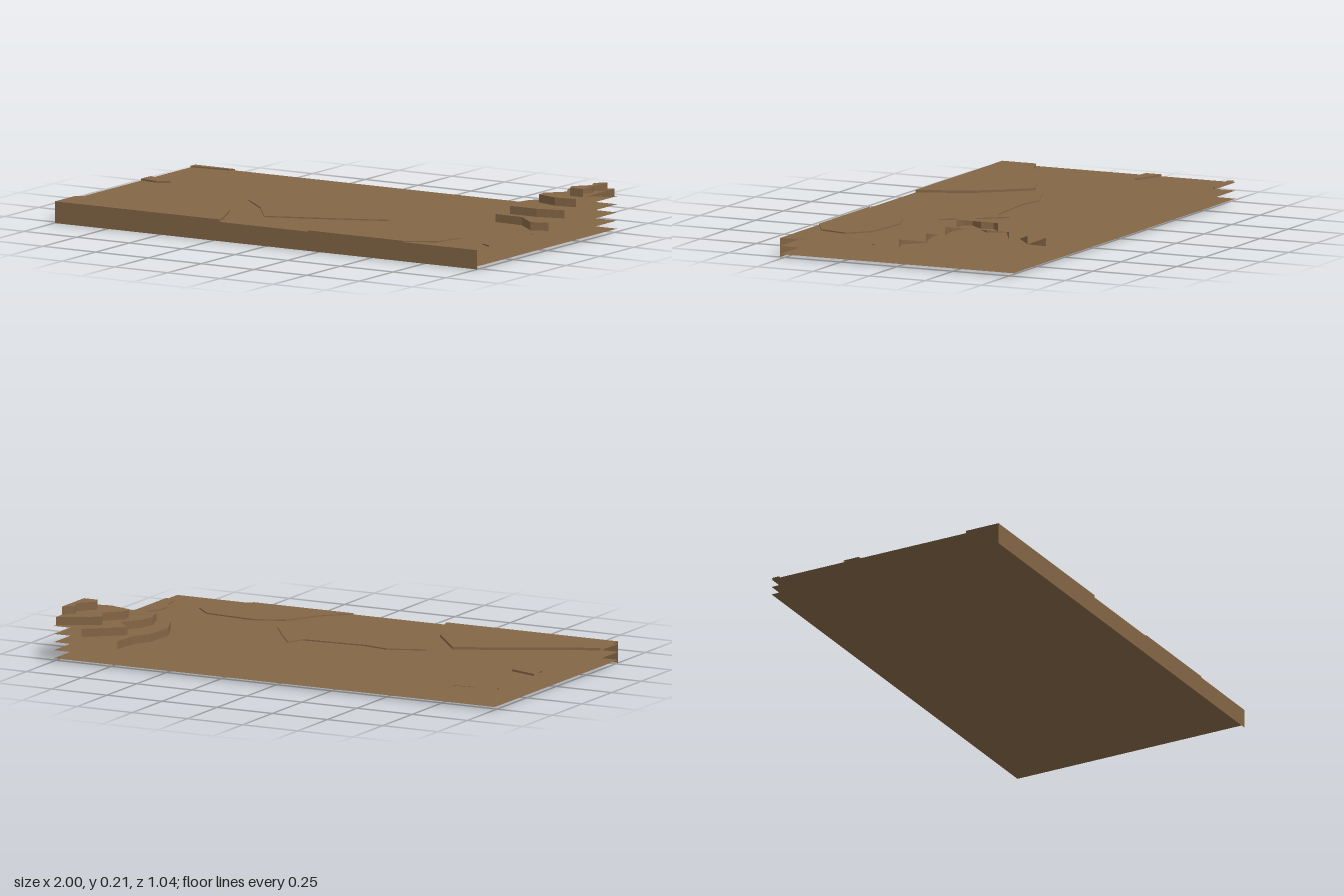
import * as THREE from 'three';

const HX = 1, HZ = 0.52;       // half extents of the slab
const GROUND = 0.078, STEP = 0.033;

const earth = new THREE.MeshStandardMaterial({ color: 0x846646, side: THREE.DoubleSide });
earth.name = 'earth brown';

// Flat horizontal sheet from an [x, z] outline
function sheet(name, outline, y) {
  const shape = new THREE.Shape(outline.map(([x, z]) => new THREE.Vector2(x, -z)));
  const geo = new THREE.ShapeGeometry(shape).rotateX(-Math.PI / 2).translate(0, y, 0);
  const mesh = new THREE.Mesh(geo, earth);
  mesh.name = name;
  return mesh;
}

// Segments on the open cut sides (left, right and back) get no wall
function onOpenEdge([x0, z0], [x1, z1]) {
  return (Math.abs(x0) === HX && x0 === x1) || (z0 === -HZ && z1 === -HZ);
}

// Vertical walls following the outline
function riser(name, outline, y0, y1) {
  const pos = [];
  outline.forEach((a, i) => {
    const b = outline[(i + 1) % outline.length];
    if (onOpenEdge(a, b)) return;
    const [ax, az] = a, [bx, bz] = b;
    pos.push(ax, y0, az, bx, y0, bz, bx, y1, bz, ax, y0, az, bx, y1, bz, ax, y1, az);
  });
  const geo = new THREE.BufferGeometry();
  geo.setAttribute('position', new THREE.Float32BufferAttribute(pos, 3));
  geo.computeVertexNormals();
  const mesh = new THREE.Mesh(geo, earth);
  mesh.name = name;
  return mesh;
}

function terrace(name, outline, y0, y1) {
  const group = new THREE.Group();
  group.name = name;
  group.add(sheet(name + 'Top', outline, y1), riser(name + 'Riser', outline, y0, y1));
  return group;
}

export function createModel() {
  const model = new THREE.Group();
  model.name = 'terracedLandscape';

  // Stacked full-size contour sheets, open at the sides and back
  const full = [[-HX, HZ], [HX, HZ], [HX, -HZ], [-HX, -HZ]];
  for (let i = 0; i < 3; i++) {
    model.add(sheet('baseSheet' + (i + 1), full, GROUND - (2 - i) * STEP));
  }

  // Single front wall
  const wall = new THREE.Mesh(new THREE.PlaneGeometry(2 * HX, GROUND), earth);
  wall.name = 'frontWall';
  wall.position.set(0, GROUND / 2, HZ);
  model.add(wall);

  // Hill terraces in the back corner, each cut off by the slab edge
  const hill = [
    [[1, -0.52], [0.71, -0.52], [0.7, -0.4], [0.66, -0.34], [0.655, -0.2], [0.71, -0.07],
      [0.84, -0.065], [0.93, 0.015], [1, -0.01]],
    [[1, -0.52], [0.875, -0.52], [0.73, -0.4], [0.8, -0.33], [0.75, -0.25], [0.735, -0.18],
      [0.76, -0.1], [0.885, -0.1], [1, -0.13]],
    [[1, -0.5], [0.84, -0.41], [0.875, -0.34], [0.81, -0.27], [0.815, -0.23], [0.91, -0.2],
      [1, -0.215]],
    [[1, -0.45], [0.96, -0.41], [0.98, -0.365], [0.925, -0.3], [0.94, -0.265], [1, -0.265]],
  ];
  hill.forEach((outline, i) => {
    const y = GROUND + i * STEP;
    model.add(terrace('hillTerrace' + (i + 1), outline, y, y + STEP));
  });

  // Shallow plateaus beside the forked stream bed
  const plateaus = {
    westPlateau: [0.088, [[-1, 0.37], [-0.9, 0.33], [-0.71, 0.23], [-0.6, 0.17], [-0.47, 0.11],
      [-0.31, 0.3], [-0.24, 0.46], [-0.22, 0.52], [-1, 0.52]]],
    middlePlateau: [0.083, [[-0.39, 0.04], [-0.24, -0.02], [-0.13, 0], [0.14, -0.02], [0.17, -0.09],
      [0.24, 0], [0.34, 0.14], [0.1, 0.24], [-0.13, 0.33], [-0.25, 0.17]]],
    frontPlateau: [0.083, [[0.2, 0.52], [0.3, 0.42], [0.38, 0.28], [0.5, 0.23], [0.72, 0.25],
      [0.8, 0.33], [0.77, 0.45], [0.65, 0.52]]],
    eastPlateau: [0.083, [[1, 0.1], [0.96, 0.14], [0.92, 0.22], [0.91, 0.28], [0.94, 0.33],
      [0.95, 0.4], [1, 0.43]]],
    backPlateau: [0.084, [[-1, -0.485], [-0.83, -0.505], [-0.81, -0.52], [-1, -0.52]]],
    sidePlateau: [0.086, [[-1, -0.19], [-0.88, -0.15], [-0.87, -0.135], [-0.92, -0.11], [-1, -0.12]]],
  };
  for (const [name, [height, outline]] of Object.entries(plateaus)) {
    model.add(terrace(name, outline, GROUND, height));
  }

  return model;
}
